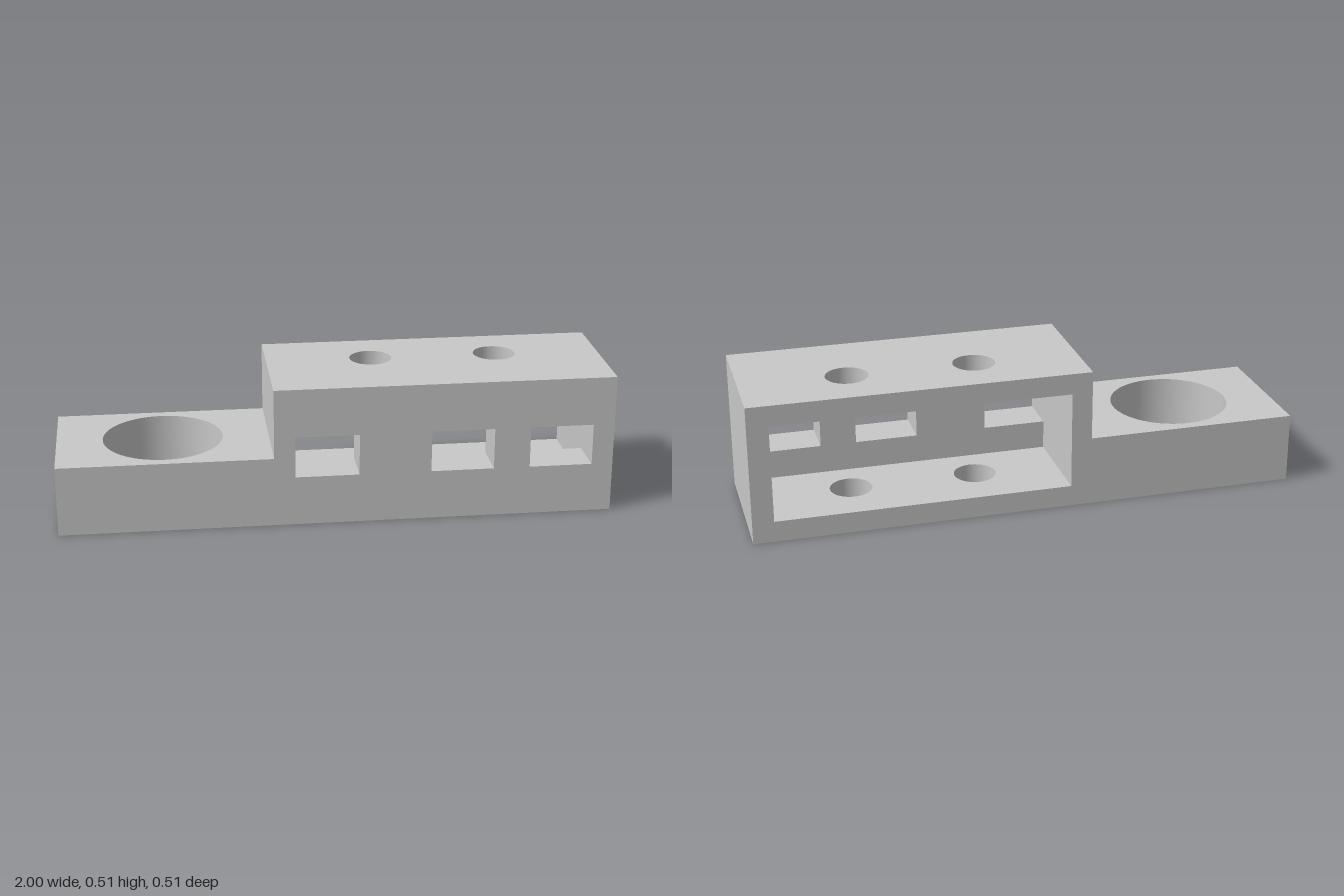
import * as THREE from 'three';

const U = 2 / 39; // design unit
const W = 5 * U, H = 10 * U, STEP_Y = 5 * U, STEP_X = -0.23;
// cavity opening to the back
const CX0 = -0.155, CX1 = 0.923, CY0 = 1.5 * U, CY1 = 8.5 * U, CZ = 2 * U;
// front windows
const WY0 = 0.182, WY1 = 0.334;
const WINDOWS = [[CX0, 0.075], [0.335, 0.563], [0.694, CX1]];
// vertical bores: x, z, radius
const BIG = [-0.615, 0, 0.218];
const SMALL = [[0.154, -0.056, 0.077], [0.615, -0.056, 0.077]];

const AXES = { x: ['z', 'y'], y: ['x', 'z'], z: ['x', 'y'] };

const rect = (a0, b0, a1, b1) => [[a0, b0], [a1, b0], [a1, b1], [a0, b1]];
const toPath = (pts, Type) => new Type(pts.map(([a, b]) => new THREE.Vector2(a, b)));
const circle = ([x, z, r]) => new THREE.Path().absarc(x, z, r, 0, Math.PI * 2, false);
const windowHole = ([x0, x1]) => toPath(rect(x0, WY0, x1, WY1), THREE.Path);

function flipWinding(geo) {
  const idx = geo.index.array;
  for (let i = 0; i < idx.length; i += 3) [idx[i + 1], idx[i + 2]] = [idx[i + 2], idx[i + 1]];
}

// Flat face across an axis at a given offset, facing sign * axis.
function panel(axis, sign, offset, outline, holes = []) {
  const shape = toPath(outline, THREE.Shape);
  shape.holes.push(...holes);
  const geo = new THREE.ShapeGeometry(shape, 32);
  const [a, b] = AXES[axis];
  const pos = geo.attributes.position, nor = geo.attributes.normal;
  for (let i = 0; i < pos.count; i++) {
    const p = { [a]: pos.getX(i), [b]: pos.getY(i), [axis]: offset };
    const n = { x: 0, y: 0, z: 0, [axis]: sign };
    pos.setXYZ(i, p.x, p.y, p.z);
    nor.setXYZ(i, n.x, n.y, n.z);
  }
  if (sign !== (axis === 'z' ? 1 : -1)) flipWinding(geo);
  return geo;
}

// Inward-facing wall of a vertical round hole.
function bore([x, z, r], y0, y1) {
  const geo = new THREE.CylinderGeometry(r, r, y1 - y0, 64, 1, true);
  geo.translate(x, (y0 + y1) / 2, z);
  flipWinding(geo);
  const n = geo.attributes.normal;
  for (let i = 0; i < n.count; i++) n.setXYZ(i, -n.getX(i), -n.getY(i), -n.getZ(i));
  return geo;
}

export function createModel() {
  const model = new THREE.Group();
  model.name = 'steppedBlock';
  const grey = new THREE.MeshStandardMaterial({ color: 0xc8c8c8 });
  grey.name = 'lightGrey';
  const add = (name, ...geos) => {
    const part = new THREE.Group();
    part.name = name;
    geos.forEach((g) => {
      const mesh = new THREE.Mesh(g, grey);
      mesh.name = name;
      part.add(mesh);
    });
    model.add(part);
  };

  // outer shell
  const side = [[-1, 0], [1, 0], [1, H], [STEP_X, H], [STEP_X, STEP_Y], [-1, STEP_Y]];
  const cavityMouth = rect(CX0, CY0, CX1, CY1);
  add('frontFace', panel('z', 1, W, side, WINDOWS.map(windowHole)));
  add('backFace', panel('z', -1, -W, side, [toPath(cavityMouth, THREE.Path)]));
  add('underside', panel('y', -1, 0, rect(-1, -W, 1, W), [BIG, ...SMALL].map(circle)));
  add('lowTop', panel('y', 1, STEP_Y, rect(-1, -W, STEP_X, W), [circle(BIG)]));
  add('highTop', panel('y', 1, H, rect(STEP_X, -W, 1, W), SMALL.map(circle)));
  add('ends',
    panel('x', 1, 1, rect(-W, 0, W, H)),
    panel('x', -1, -1, rect(-W, 0, W, STEP_Y)),
    panel('x', -1, STEP_X, rect(-W, STEP_Y, W, H)));

  // cavity: inner front wall is notched where the outer windows meet its ends
  const [w0, w1, w2] = WINDOWS;
  const innerWall = [
    [CX0, CY0], [CX1, CY0], [CX1, WY0], [w2[0], WY0], [w2[0], WY1], [CX1, WY1],
    [CX1, CY1], [CX0, CY1], [CX0, WY1], [w0[1], WY1], [w0[1], WY0], [CX0, WY0],
  ];
  const floor = rect(CX0, -W, CX1, CZ);
  add('cavity',
    panel('z', -1, CZ, innerWall, [windowHole(w1)]),
    panel('y', 1, CY0, floor, SMALL.map(circle)),
    panel('y', -1, CY1, floor, SMALL.map(circle)),
    panel('x', 1, CX0, rect(-W, CY0, CZ, CY1)),
    panel('x', -1, CX1, rect(-W, CY0, CZ, CY1)));

  // window reveals
  for (const [x0, x1] of WINDOWS) {
    add('windowReveal',
      panel('y', 1, WY0, rect(x0, CZ, x1, W)),
      panel('y', -1, WY1, rect(x0, CZ, x1, W)),
      panel('x', 1, x0, rect(CZ, WY0, W, WY1)),
      panel('x', -1, x1, rect(CZ, WY0, W, WY1)));
  }

  // round holes
  add('largeBore', bore(BIG, 0, STEP_Y));
  for (const s of SMALL) add('smallBore', bore(s, 0, CY0), bore(s, CY1, H));

  return model;
}
